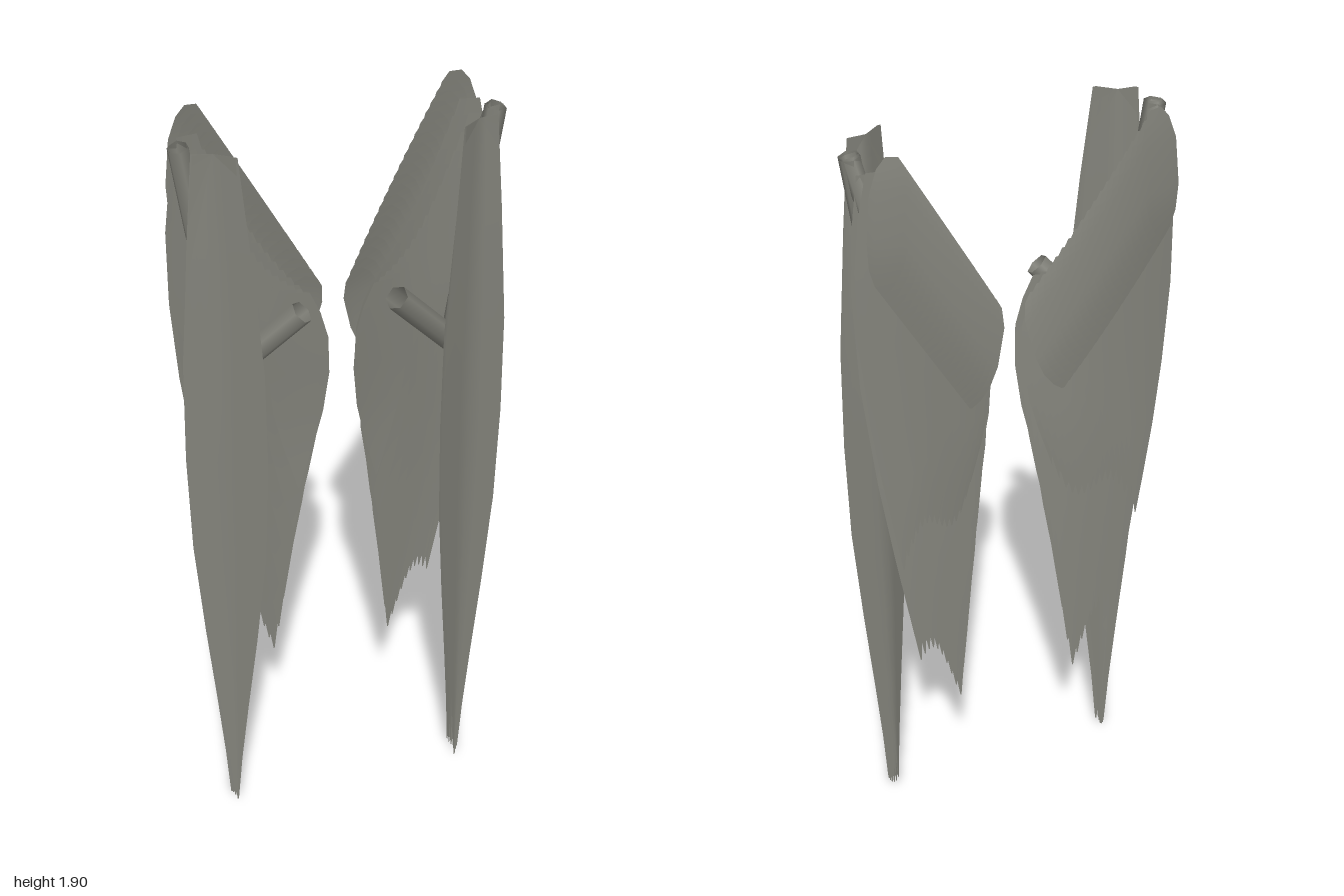
import * as THREE from 'three';

const featherGrey = new THREE.MeshStandardMaterial({ color: 0x82827a, side: THREE.DoubleSide });
featherGrey.name = 'featherGrey';

// half-width along the vane, root to tip: [position, fraction of full width]
const LONG = [[0, 0.53], [0.12, 0.74], [0.28, 0.97], [0.42, 1], [0.56, 0.9], [0.7, 0.63], [0.82, 0.36], [0.92, 0.15], [1, 0.02]];
const MEDIUM = [[0, 0.35], [0.1, 0.7], [0.22, 0.95], [0.4, 1], [0.6, 0.82], [0.76, 0.54], [0.9, 0.24], [1, 0.02]];
const SHORT = [[0, 0.3], [0.08, 0.7], [0.25, 1], [0.6, 1], [0.8, 0.8], [0.93, 0.45], [1, 0.08]];
const COLS = 6;

const mix = THREE.MathUtils.lerp;
const jitter = (i) => Math.sin(i * 12.9898) * 0.5;

// one thin feather drawn in the xy plane, then bent by depth(x, y);
// tilt turns it like a shingle, arch bows it backward along its length
function feather(name, side, root, tip, width, profile, depth, tilt = 0, arch = 0) {
  const pos = [], index = [];
  const dx = tip[0] - root[0], dy = tip[1] - root[1], len = Math.hypot(dx, dy);
  const nx = -dy / len, ny = dx / len;
  profile.forEach(([t, w], r) => {
    for (let c = 0; c <= COLS; c++) {
      const u = (c / COLS) * 2 - 1;
      const x = root[0] + dx * t + nx * u * w * width;
      const y = root[1] + dy * t + ny * u * w * width;
      pos.push(side * x, y, depth(x, y) + tilt * u * w - arch * Math.sin(Math.PI * t));
      if (r > 0 && c > 0) {
        const d = r * (COLS + 1) + c, b = d - COLS - 1;
        index.push(b - 1, d - 1, b, b, d - 1, d);
      }
    }
  });
  const geo = new THREE.BufferGeometry();
  geo.setAttribute('position', new THREE.Float32BufferAttribute(pos, 3));
  geo.setIndex(index);
  geo.computeVertexNormals();
  const mesh = new THREE.Mesh(geo, featherGrey);
  mesh.name = name;
  return mesh;
}

// hollow six-sided bone between two points
function bone(name, side, a, b, radius) {
  const p = new THREE.Vector3(side * a[0], a[1], a[2]);
  const q = new THREE.Vector3(side * b[0], b[1], b[2]);
  const dir = q.clone().sub(p);
  const mesh = new THREE.Mesh(new THREE.CylinderGeometry(radius, radius, dir.length(), 6, 1, true), featherGrey);
  mesh.position.copy(p).add(q).multiplyScalar(0.5);
  mesh.quaternion.setFromUnitVectors(new THREE.Vector3(0, 1, 0), dir.normalize());
  mesh.name = name;
  return mesh;
}

// cupped layer: curls forward toward the body and leans back below y = 1.4
const cupped = (outerZ, innerZ, lean) => (x, y) => {
  const t = Math.max(0, (0.37 - x) / 0.34);
  return mix(outerZ, innerZ, t * t) - lean * Math.max(0, 1.4 - y);
};

function layer(name, count, make) {
  const group = new THREE.Group();
  group.name = name;
  for (let i = 0; i < count; i++) group.add(make(i / (count - 1), i));
  return group;
}

function wing(name, side) {
  const group = new THREE.Group();
  group.name = name;

  // arm bones
  group.add(
    bone('upperArm', side, [0.11, 1.56, 0.075], [0.27, 1.375, -0.005], 0.029),
    bone('forearm', side, [0.27, 1.37, -0.005], [0.355, 1.96, -0.005], 0.025),
    bone('hand', side, [0.355, 1.96, -0.005], [0.315, 1.76, -0.065], 0.022),
  );

  // long flight feathers, creased lengthwise, stack fanning out below the root
  group.add(layer('primaries', 10, (t, i) => {
    const depth = (x, y) => {
      const c = x - 0.295, spread = Math.min(1, (1.97 - y) / 0.5);
      const base = mix(0.06, mix(0.07, 0.028, t), spread);
      return base + (c < 0 ? -c * 0.76 : -c * mix(0.22, 0.02, t));
    };
    return feather('primary', side, [0.295, 1.97], [0.297 + jitter(i) * 0.024, 0.035 + t * 0.09 + (jitter(i + 3) + 0.5) * 0.07],
      mix(0.086, 0.075, t), LONG, depth, jitter(i + 1) * 0.01);
  }));

  // secondaries, longest in the middle, shortest next to the body
  const secondaryDepth = cupped(-0.042, 0.04, 0.078);
  group.add(layer('secondaries', 15, (t, i) => {
    const s = t < 0.65 ? t / 0.65 : (t - 0.65) / 0.35;
    const tipX = t < 0.65 ? mix(0.26, 0.152, s) : mix(0.152, 0.098, s);
    const tipY = t < 0.65 ? mix(0.62, 0.5, s) : mix(0.5, 1.03, s);
    const rootY = mix(1.93, 1.57, t) - 0.08 * Math.sin(Math.PI * t);
    return feather('secondary', side, [mix(0.33, 0.1, t), rootY], [tipX, tipY + jitter(i) * 0.13],
      mix(0.064, 0.07, t), MEDIUM, secondaryDepth, 0.014, 0.012);
  }));

  // middle coverts
  const covertDepth = cupped(-0.078, 0.025, 0.068);
  group.add(layer('middleCoverts', 15, (t, i) => feather('middleCovert', side,
    [mix(0.32, 0.1, t), mix(1.95, 1.56, t) - 0.05 * Math.sin(Math.PI * t)],
    [mix(0.3, 0.11, t), mix(0.92, 1.08, t) + jitter(i) * 0.11],
    0.066, MEDIUM, covertDepth, 0.014, 0.016)));

  // short coverts forming the diagonal band at the back
  const bandDepth = cupped(-0.122, -0.04, 0);
  group.add(layer('shortCoverts', 20, (t) => feather('shortCovert', side,
    [mix(0.3, 0.054, t), mix(2, 1.57, t)], [mix(0.33, 0.115, t), mix(1.68, 1.31, t)],
    0.045, SHORT, bandDepth, 0.012, 0.013)));

  return group;
}

export function createModel() {
  const model = new THREE.Group();
  model.name = 'foldedWings';
  model.add(wing('leftWing', 1), wing('rightWing', -1));
  return model;
}
